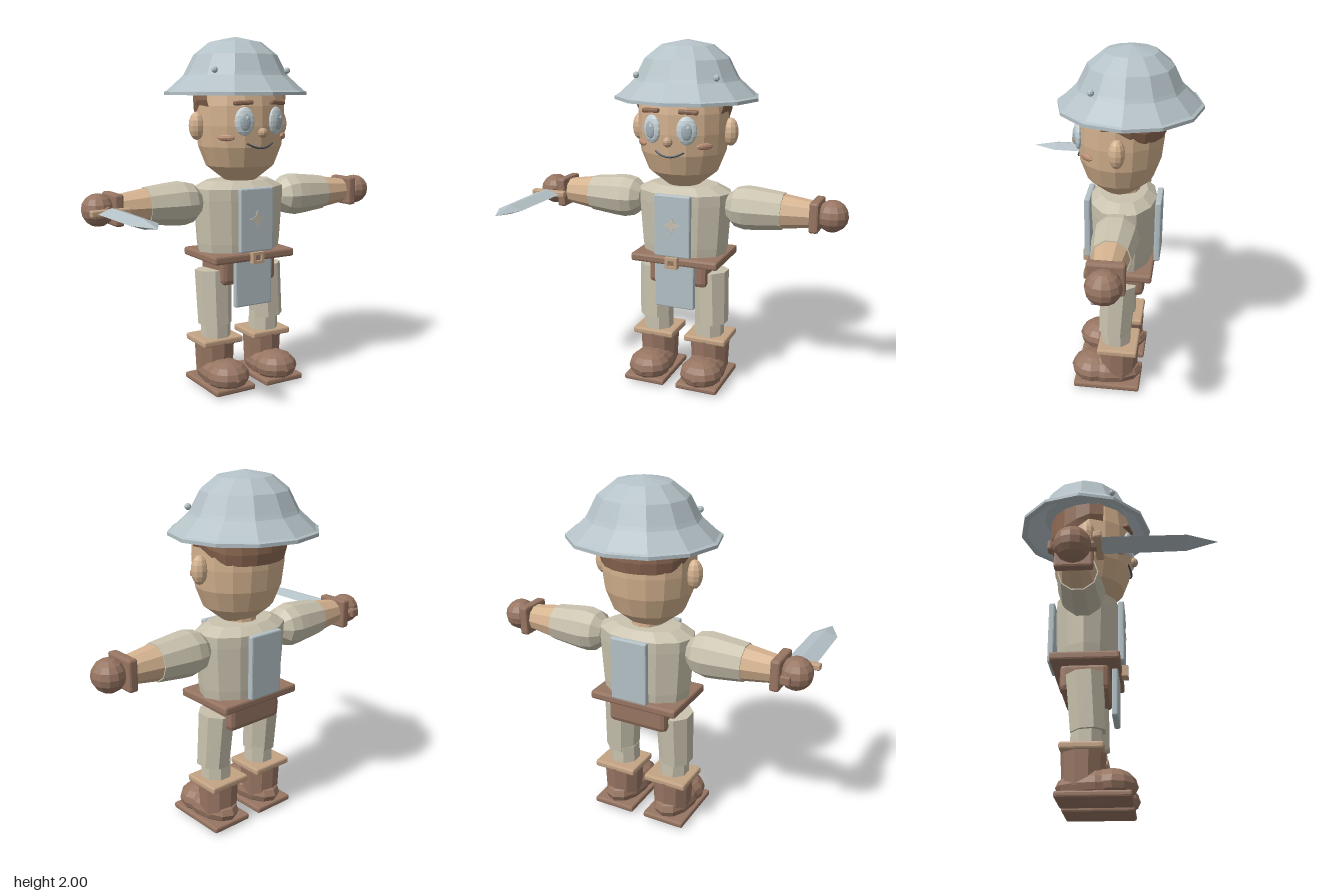
import * as THREE from 'three';
import { RoundedBoxGeometry } from 'three/addons/geometries/RoundedBoxGeometry.js';

const paint = (name, color, side = THREE.FrontSide) => {
  const m = new THREE.MeshStandardMaterial({ color, side });
  m.name = name;
  return m;
};
const mats = {
  steel: paint('steel', 0xb4c1c6),
  cloth: paint('cream cloth', 0xc9c2ae),
  skin: paint('skin', 0xd4b28f),
  leather: paint('brown leather', 0x977562),
  hair: paint('brown hair', 0x8e6a54, THREE.DoubleSide),
  trim: paint('tan trim', 0xc4a384),
  eye: paint('eye white', 0xc6d2d6),
  iris: paint('iris', 0xa3b3bb),
  line: paint('dark line', 0x4b5359),
  cheek: paint('cheek', 0xba8e74),
};

// Faceted mesh: every triangle keeps its own flat normal
function add(parent, name, geo, mat, pos = [0, 0, 0], rot = [0, 0, 0], scale = [1, 1, 1]) {
  const g = geo.index ? geo.toNonIndexed() : geo;
  g.computeVertexNormals();
  const mesh = new THREE.Mesh(g, mat);
  mesh.name = name;
  mesh.position.set(...pos);
  mesh.rotation.set(...rot);
  mesh.scale.set(...scale);
  parent.add(mesh);
  return mesh;
}
function group(parent, name) {
  const g = new THREE.Group();
  g.name = name;
  parent.add(g);
  return g;
}
const lathe = (pts, seg, start = 0, len = Math.PI * 2) =>
  new THREE.LatheGeometry(pts.map(p => new THREE.Vector2(...p)), seg, start, len);
const ball = (w = 12, h = 8) => new THREE.SphereGeometry(1, w, h);
const slab = (w, h, d, r = 0.008) => new RoundedBoxGeometry(w, h, d, 1, r);

function buildHead(root) {
  const head = group(root, 'head');
  add(head, 'skull', lathe([[0, 1.195], [0.09, 1.2], [0.2, 1.285], [0.244, 1.395], [0.258, 1.51],
    [0.258, 1.62], [0.24, 1.73], [0, 1.78]], 16), mats.skin, [0, 0, -0.117], [0, 0, 0], [1, 1, 0.91]);

  // Hair wraps the back of the head and hangs lower behind
  const hair = lathe([[0.235, 1.615], [0.265, 1.615], [0.28, 1.65], [0.28, 1.72], [0.22, 1.76]], 12,
    Math.PI * 0.4, Math.PI * 1.2);
  const p = hair.attributes.position;
  for (let i = 0; i < p.count; i++) {
    const low = Math.max(0, (1.72 - p.getY(i)) / 0.105);
    p.setY(i, p.getY(i) - low * 0.075 * Math.min(1, Math.max(0, -p.getZ(i) / 0.17)));
  }
  add(head, 'hair', hair, mats.hair, [0, 0, -0.117], [0, 0, 0], [0.96, 1, 0.91]);

  add(head, 'nose', ball(10, 8), mats.trim, [0, 1.475, 0.123], [0, 0, 0], [0.028, 0.028, 0.026]);
  const smile = new THREE.QuadraticBezierCurve3(new THREE.Vector3(-0.082, 1.418, 0.092),
    new THREE.Vector3(0, 1.365, 0.127), new THREE.Vector3(0.082, 1.418, 0.092));
  add(head, 'mouth', new THREE.TubeGeometry(smile, 12, 0.006, 5), mats.line);

  for (const s of [1, -1]) {
    const side = s > 0 ? 'left' : 'right';
    add(head, side + 'Ear', ball(10, 8), mats.skin, [s * 0.272, 1.51, -0.127], [0, 0, 0], [0.045, 0.078, 0.044]);
    const eye = group(head, side + 'Eye');
    eye.position.set(s * 0.1, 1.538, 0.098);
    eye.rotation.y = s * 0.3;
    add(eye, 'eyeball', ball(16, 8), mats.eye, [0, 0, 0], [0, 0, 0], [0.056, 0.078, 0.022]);
    add(eye, 'iris', ball(14, 8), mats.iris, [0, -0.003, 0.016], [0, 0, 0], [0.031, 0.048, 0.012]);
    add(eye, 'glint', ball(8, 6), mats.eye, [0.01, 0.018, 0.026], [0, 0, 0], [0.009, 0.012, 0.004]);
    add(head, side + 'Brow', slab(0.108, 0.024, 0.035), mats.hair, [s * 0.107, 1.637, 0.095], [0, s * 0.25, s * -0.05]);
    add(head, side + 'Cheek', ball(12, 6), mats.cheek, [s * 0.183, 1.45, 0.042], [0, s * 0.8, 0], [0.05, 0.019, 0.014]);
  }
}

function buildHelmet(root) {
  const helmet = group(root, 'helmet');
  helmet.position.z = -0.165;
  // Hollow underside, brim rim, then the dome
  add(helmet, 'helmetShell', lathe([[0, 1.79], [0.265, 1.77], [0.375, 1.677], [0.412, 1.677], [0.412, 1.695],
    [0.395, 1.702], [0.302, 1.785], [0.29, 1.805], [0.24, 1.9], [0.15, 1.97], [0, 2]], 12),
    mats.steel, [0, 0, 0], [0, 0, 0], [1, 1, 0.94]);
  for (const s of [1, -1]) {
    add(helmet, 'rivet', ball(8, 6), mats.steel, [s * 0.233, 1.812, 0.175], [0, 0, 0], [0.018, 0.018, 0.018]);
  }
}

function buildTorso(root) {
  const torso = group(root, 'torso');
  add(torso, 'neck', new THREE.CylinderGeometry(0.085, 0.09, 0.1, 10), mats.skin, [0, 1.2, -0.14]);
  add(torso, 'tunic', lathe([[0, 0.77], [0.25, 0.77], [0.262, 0.85], [0.28, 1.1], [0.28, 1.16], [0.2, 1.2], [0, 1.205]], 12),
    mats.cloth, [0, 0, -0.14], [0, 0, 0], [1, 1, 0.66]);
  add(torso, 'chestPlate', slab(0.215, 0.36, 0.034), mats.steel, [0, 0.988, 0.052]);
  add(torso, 'backPlate', slab(0.215, 0.36, 0.034), mats.steel, [0, 0.988, -0.337]);

  // Four-pointed badge
  const star = new THREE.Shape();
  for (let i = 0; i < 8; i++) {
    const r = i % 2 ? 0.019 : 0.05, a = i * Math.PI / 4;
    star[i ? 'lineTo' : 'moveTo'](r * Math.cos(a), r * Math.sin(a));
  }
  add(torso, 'starBadge', new THREE.ExtrudeGeometry(star, { depth: 0.006, bevelEnabled: false }),
    mats.cloth, [0, 0.995, 0.068]);

  add(torso, 'belt', slab(0.525, 0.048, 0.375, 0.012), mats.leather, [0, 0.776, -0.135]);
  // Buckle frame with a hole
  const frame = new THREE.Shape([[-0.036, -0.032], [0.036, -0.032], [0.036, 0.032], [-0.036, 0.032]]
    .map(c => new THREE.Vector2(...c)));
  frame.holes.push(new THREE.Path([[-0.019, -0.016], [-0.019, 0.016], [0.019, 0.016], [0.019, -0.016]]
    .map(c => new THREE.Vector2(...c))));
  add(torso, 'buckle', new THREE.ExtrudeGeometry(frame, { depth: 0.036, bevelEnabled: false }),
    mats.trim, [0, 0.776, 0.05]);
  add(torso, 'buckleCentre', slab(0.04, 0.034, 0.03, 0.004), mats.leather, [0, 0.776, 0.058]);
  add(torso, 'hips', slab(0.36, 0.16, 0.265, 0.03), mats.leather, [0, 0.69, -0.142]);
  add(torso, 'frontFlap', slab(0.24, 0.29, 0.034), mats.steel, [0, 0.635, 0.018]);
}

function buildArm(root, s) {
  const arm = group(root, s > 0 ? 'leftArm' : 'rightArm');
  arm.position.set(0, 1.087, -0.14);
  const lie = [0, 0, -s * Math.PI / 2];
  add(arm, 'sleeve', lathe([[0, 0.25], [0.07, 0.265], [0.112, 0.31], [0.125, 0.37], [0.121, 0.43],
    [0.104, 0.585], [0, 0.585]], 10), mats.cloth, [0, 0, 0], lie);
  add(arm, 'forearm', new THREE.CylinderGeometry(0.072, 0.099, 0.19, 10), mats.skin, [s * 0.67, 0, 0], lie);
  add(arm, 'wristBand', slab(0.052, 0.17, 0.19, 0.012), mats.leather, [s * 0.768, 0, 0]);
  add(arm, 'hand', ball(12, 8), mats.leather, [s * 0.852, 0, 0], [0, 0, 0], [0.088, 0.088, 0.092]);
}

function buildSword(root) {
  const sword = group(root, 'sword');
  sword.position.set(-0.83, 1.087, 0);
  const forward = [Math.PI / 2, 0, 0];
  add(sword, 'grip', new THREE.CylinderGeometry(0.026, 0.026, 0.21, 8), mats.leather, [0, 0, -0.13], forward);
  add(sword, 'pommel', slab(0.055, 0.05, 0.025), mats.leather, [0, 0, -0.245]);
  add(sword, 'guard', slab(0.218, 0.036, 0.04), mats.trim, [0, 0, -0.015]);
  // Diamond section, ridge up and down
  add(sword, 'blade', new THREE.CylinderGeometry(0.072, 0.077, 0.4, 4), mats.steel, [0, 0, 0.2], forward, [1, 1, 0.34]);
  add(sword, 'bladeTip', new THREE.ConeGeometry(0.072, 0.147, 4), mats.steel, [0, 0, 0.4735], forward, [1, 1, 0.34]);
}

function buildLeg(root, s) {
  const leg = group(root, s > 0 ? 'leftLeg' : 'rightLeg');
  leg.position.x = s * 0.163;
  add(leg, 'thigh', new THREE.CylinderGeometry(0.106, 0.097, 0.315, 8), mats.cloth,
    [s * 0.008, 0.535, -0.127], [-0.06, Math.PI / 8, s * 0.03, 'YXZ']);
  add(leg, 'shin', new THREE.CylinderGeometry(0.086, 0.088, 0.14, 8), mats.cloth, [0, 0.33, -0.125], [0, Math.PI / 8, 0]);
  // Boot
  add(leg, 'bootCuff', slab(0.255, 0.038, 0.228, 0.01), mats.trim, [0, 0.281, -0.14]);
  add(leg, 'bootShaft', new THREE.CylinderGeometry(0.117, 0.108, 0.19, 10), mats.leather, [0, 0.18, -0.14]);
  add(leg, 'bootFoot', ball(12, 8), mats.leather, [0, 0.095, -0.07], [0, 0, 0], [0.118, 0.09, 0.21]);
  add(leg, 'bootToe', ball(12, 8), mats.leather, [0, 0.1, 0.012], [0, 0, 0], [0.126, 0.087, 0.124]);
  add(leg, 'bootSole', slab(0.252, 0.034, 0.385, 0.01), mats.leather, [0, 0.037, -0.08]);
}

export function createModel() {
  const model = new THREE.Group();
  model.name = 'toySoldier';
  buildHead(model);
  buildHelmet(model);
  buildTorso(model);
  for (const s of [1, -1]) {
    buildArm(model, s);
    buildLeg(model, s);
  }
  buildSword(model);
  return model;
}
